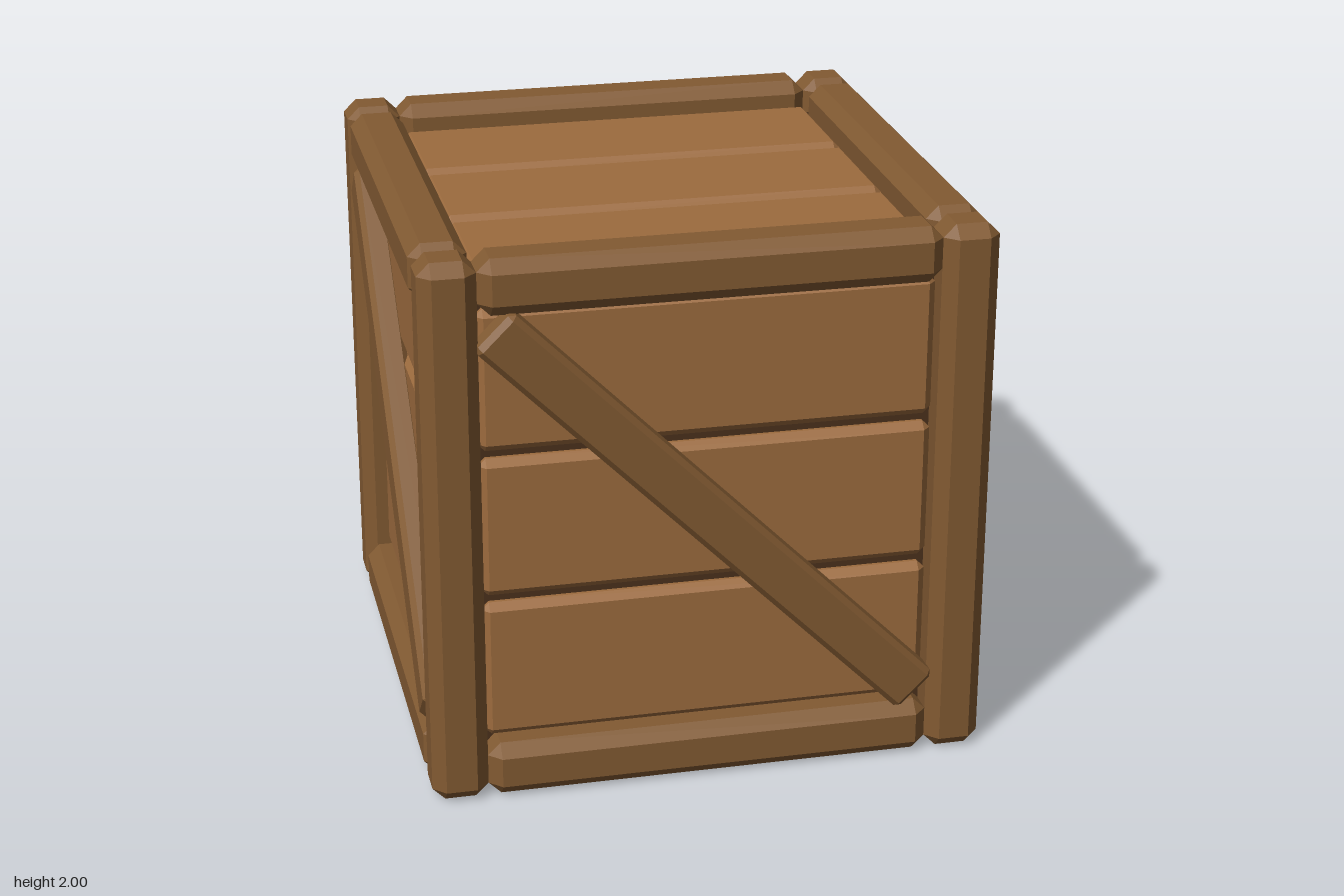
import * as THREE from 'three';
import { ConvexGeometry } from 'three/addons/geometries/ConvexGeometry.js';

const material = (color) => new THREE.MeshStandardMaterial({ color, flatShading: true });

// Box with every edge and corner cut at 45 degrees
function chamferBox(w, h, d, c) {
  const points = [];
  for (const sx of [-1, 1]) for (const sy of [-1, 1]) for (const sz of [-1, 1]) {
    const x = w / 2, y = h / 2, z = d / 2;
    points.push(
      new THREE.Vector3(sx * x, sy * (y - c), sz * (z - c)),
      new THREE.Vector3(sx * (x - c), sy * y, sz * (z - c)),
      new THREE.Vector3(sx * (x - c), sy * (y - c), sz * z)
    );
  }
  return new ConvexGeometry(points);
}

export function createModel() {
  const crate = new THREE.Group();
  crate.name = 'crate';

  const frameMat = material(0x825a32);
  const plankMat = material(0x9c6b3e);
  const coreMat = material(0x4a301c);

  const postGeo = chamferBox(0.2, 2, 0.2, 0.045);
  const railGeo = chamferBox(1.6, 0.2, 0.2, 0.045);
  const plankGeo = chamferBox(1.6, 0.515, 0.1, 0.027);
  const braceGeo = chamferBox(2.13, 0.185, 0.11, 0.02);

  function add(parent, name, geometry, mat, x, y, z) {
    const mesh = new THREE.Mesh(geometry, mat);
    mesh.name = name;
    mesh.position.set(x, y, z);
    parent.add(mesh);
    return mesh;
  }

  // Three planks lying side by side, facing +z
  function addPlanks(parent) {
    for (const i of [-1, 0, 1]) add(parent, 'plank', plankGeo, plankMat, 0, i * 0.543, 0.86);
  }

  // Dark inner box seen through the gaps and from below
  add(crate, 'core', new THREE.BoxGeometry(1.74, 1.74, 1.74), coreMat, 0, 1, 0);

  // Four identical sides turned about the vertical axis
  ['front', 'left', 'back', 'right'].forEach((name, i) => {
    const side = new THREE.Group();
    side.name = name + 'Side';
    side.position.y = 1;
    side.rotation.y = i * Math.PI / 2;
    add(side, 'cornerPost', postGeo, frameMat, 0.9, 0, 0.9);
    add(side, 'topRail', railGeo, frameMat, 0, 0.9, 0.9);
    add(side, 'bottomRail', railGeo, frameMat, 0, -0.9, 0.9);
    addPlanks(side);
    add(side, 'diagonalBrace', braceGeo, frameMat, 0, 0, 0.947).rotation.z = -Math.PI / 4;
    crate.add(side);
  });

  // Planked lid
  const lid = new THREE.Group();
  lid.name = 'lid';
  lid.position.y = 1;
  lid.rotation.x = -Math.PI / 2;
  addPlanks(lid);
  crate.add(lid);

  return crate;
}
